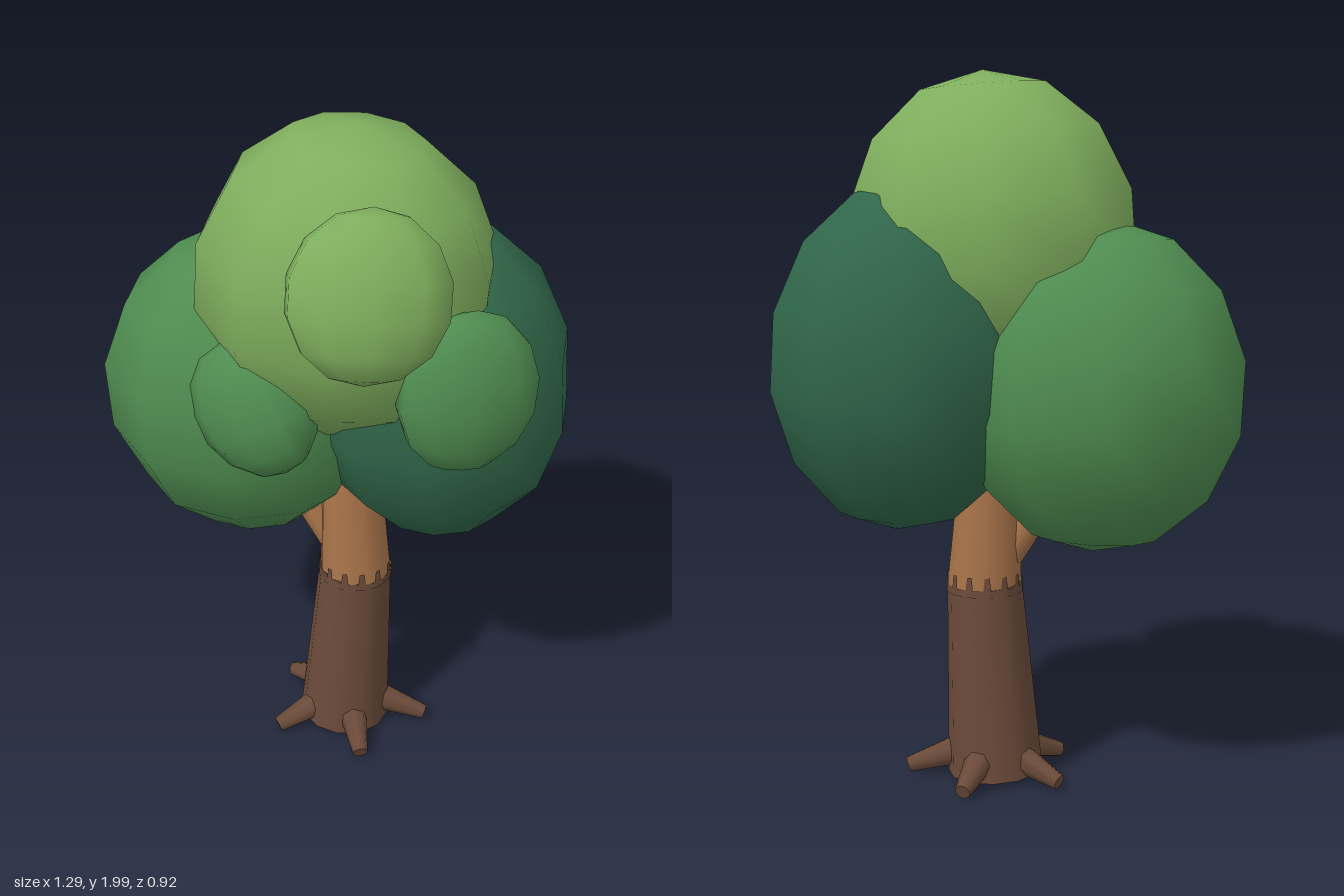
import * as THREE from 'three';

const material = (name, color) => {
  const m = new THREE.MeshStandardMaterial({ color });
  m.name = name;
  return m;
};

export function createModel() {
  const tree = new THREE.Group();
  tree.name = 'tree';

  const bark = material('dark bark', 0x6b4b3a);
  const wood = material('light wood', 0xa9744a);
  const lightLeaf = material('light leaf', 0x7fae5d);
  const midLeaf = material('mid leaf', 0x4f8c50);
  const darkLeaf = material('dark leaf', 0x31674a);

  const add = (name, geometry, mat) => {
    const mesh = new THREE.Mesh(geometry, mat);
    mesh.name = name;
    tree.add(mesh);
    return mesh;
  };

  // Tapered limb running from point a to point b
  const limb = (name, a, b, ra, rb, sides, mat) => {
    const from = new THREE.Vector3(...a), to = new THREE.Vector3(...b);
    const dir = to.clone().sub(from);
    const mesh = add(name, new THREE.CylinderGeometry(rb, ra, dir.length(), sides), mat);
    mesh.position.copy(from).add(to).multiplyScalar(0.5);
    mesh.quaternion.setFromUnitVectors(new THREE.Vector3(0, 1, 0), dir.normalize());
  };

  // Leaning trunk and the pale upper wood
  limb('trunk', [0.035, 0.017, -0.055], [0.065, 0.57, -0.055], 0.135, 0.106, 12, bark);
  limb('upperTrunk', [0.066, 0.56, -0.055], [0.045, 1.0, -0.07], 0.105, 0.08, 12, wood);
  limb('leftBranch', [0.02, 0.62, -0.06], [-0.14, 0.88, -0.08], 0.045, 0.045, 8, wood);

  // Ragged bark edge: a thin collar with narrow teeth
  const teeth = 13, pos = [], index = [];
  const steps = [[0, 0.57], [0.5, 0.57], [0.58, 0.605], [0.85, 0.608], [0.93, 0.57]];
  for (let i = 0; i < teeth; i++) {
    for (const [t, top] of steps) {
      const a = ((i + t) / teeth) * Math.PI * 2;
      for (const y of [0.55, top]) {
        const r = 0.108 - (y - 0.55) * 0.04;
        pos.push(0.065 + Math.sin(a) * r, y, -0.055 + Math.cos(a) * r);
      }
    }
  }
  const count = teeth * steps.length;
  for (let i = 0; i < count; i++) {
    const a = i * 2, b = ((i + 1) % count) * 2;
    index.push(a, b, b + 1, a, b + 1, a + 1);
  }
  const collar = new THREE.BufferGeometry();
  collar.setAttribute('position', new THREE.Float32BufferAttribute(pos, 3));
  collar.setIndex(index);
  collar.computeVertexNormals();
  bark.side = THREE.DoubleSide;
  add('barkEdge', collar, bark);

  // Five roots spread evenly around the base
  for (let i = 0; i < 5; i++) {
    const a = (i * 2 * Math.PI) / 5, c = Math.cos(a), s = Math.sin(a);
    limb('root', [0.045 + c * 0.08, 0.08, -0.055 + s * 0.08],
      [0.045 + c * 0.24, 0.026, -0.055 + s * 0.23], 0.046, 0.023, 7, bark);
  }

  // Foliage masses: low-sided ellipsoids
  const ball = new THREE.SphereGeometry(1, 10, 7).rotateY(Math.PI / 10);
  const clump = (name, mat, centre, radii, tilt) => {
    const mesh = add(name, ball, mat);
    mesh.position.set(...centre);
    mesh.scale.set(...radii);
    mesh.rotation.set(...tilt);
  };
  clump('topFoliage', lightLeaf, [0.04, 1.55, -0.005], [0.415, 0.45, 0.363], [0.04, 0, -0.07]);
  clump('rightFoliage', midLeaf, [-0.26, 1.14, -0.11], [0.408, 0.46, 0.36], [0.04, 0, 0.05]);
  clump('leftFoliage', darkLeaf, [0.28, 1.22, -0.09], [0.385, 0.49, 0.33], [0, 0, 0.06]);

  // Small flattened tufts on the front
  clump('topTuft', lightLeaf, [0.15, 1.67, 0.32], [0.22, 0.225, 0.11], [-0.32, 0.3, 0]);
  clump('leftTuft', midLeaf, [0.395, 1.355, 0.205], [0.195, 0.23, 0.1], [-0.08, 0.4, -0.08]);
  clump('rightTuft', midLeaf, [-0.172, 1.25, 0.21], [0.175, 0.2, 0.11], [-0.1, -0.2, 0.5]);

  return tree;
}
